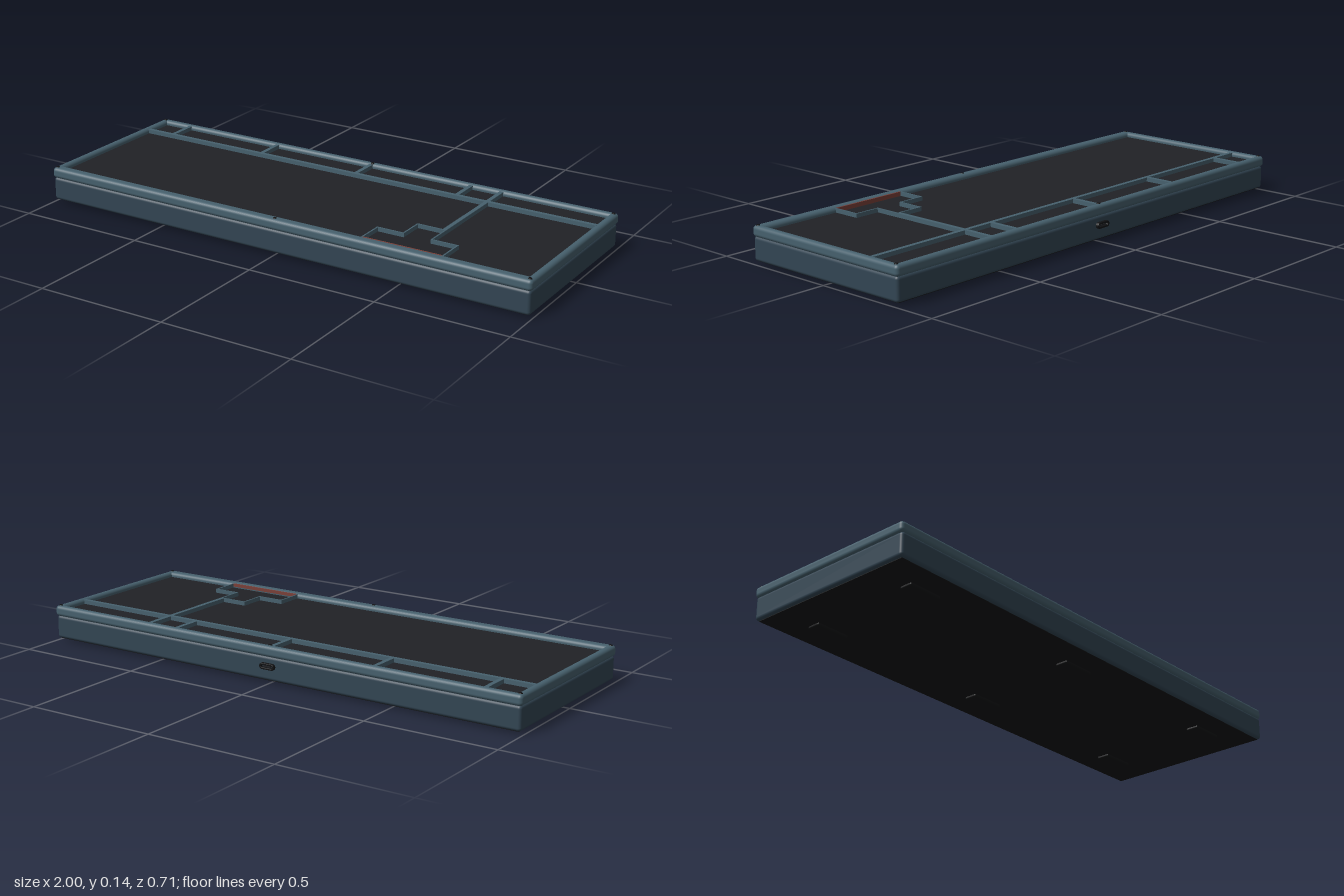
import * as THREE from 'three';
import { RoundedBoxGeometry } from 'three/addons/geometries/RoundedBoxGeometry.js';

const paint = (color) => new THREE.MeshStandardMaterial({ color });

export function createModel() {
  const model = new THREE.Group();
  const lid = paint(0x46606d), shell = paint(0x324553), dark = paint(0x202226);
  const black = paint(0x111214), red = paint(0x7a3f38);

  const add = (name, geometry, material) => {
    const mesh = new THREE.Mesh(geometry, material);
    mesh.name = name;
    model.add(mesh);
    return mesh;
  };
  // Box given by its limits on each axis, with optional rounded edges
  const block = (name, material, [x0, x1], [y0, y1], [z0, z1], radius = 0) => {
    const size = [x1 - x0, y1 - y0, z1 - z0];
    const geometry = radius ? new RoundedBoxGeometry(...size, 4, radius) : new THREE.BoxGeometry(...size);
    const mesh = add(name, geometry, material);
    mesh.position.set((x0 + x1) / 2, (y0 + y1) / 2, (z0 + z1) / 2);
    return mesh;
  };

  // Lower case, base plate and recessed deck
  block('lowerCase', shell, [-0.996, 0.996], [0.0115, 0.1], [-0.346, 0.355], 0.012);
  block('basePlate', black, [-0.984, 0.984], [0.0095, 0.016], [-0.336, 0.343]);
  block('deck', dark, [-0.985, 0.985], [0.098, 0.12], [-0.335, 0.335]);

  // Rounded rim
  const rimY = [0.097, 0.138];
  block('frontRim', lid, [-1, 1], rimY, [0.315, 0.357], 0.014);
  block('backRim', lid, [-1, 1], rimY, [-0.35, -0.32], 0.014);
  for (const s of [-1, 1]) {
    block('sideRim', lid, [s * 0.985 - 0.015, s * 0.985 + 0.015], rimY, [-0.35, 0.357], 0.014);
  }

  // Dividers between key groups
  const barY = [0.115, 0.135];
  block('rowDivider', lid, [-0.975, 0.975], barY, [-0.216, -0.2]);
  for (const x of [-0.855, -0.43, -0.003, 0.425]) {
    block('groupDivider', lid, [x - 0.008, x + 0.008], barY, [-0.325, -0.21]);
  }
  block('longDivider', lid, [0.542, 0.558], barY, [-0.325, 0.113]);

  // Thin stepped wall around the arrow keys
  const path = [[0.342, 0.32], [0.342, 0.212], [0.445, 0.212], [0.445, 0.112],
    [0.555, 0.112], [0.555, 0.212], [0.655, 0.212], [0.655, 0.32]];
  const t = 0.003;
  for (let i = 1; i < path.length; i++) {
    const [[ax, az], [bx, bz]] = [path[i - 1], path[i]];
    block('arrowKeyWall', lid, [Math.min(ax, bx) - t, Math.max(ax, bx) + t], barY,
      [Math.min(az, bz) - t, Math.max(az, bz) + t]);
  }
  block('arrowKeyAccent', red, [0.345, 0.652], [0.118, 0.136], [0.315, 0.321]);

  // Screw heads
  for (const x of [-0.985, 0, 0.985]) {
    for (const z of [-0.331, 0.339]) {
      add('screw', new THREE.CylinderGeometry(0.006, 0.008, 0.005, 16), black).position.set(x, 0.1375, z);
    }
  }

  // Feet
  for (const x of [-0.78, 0, 0.78]) {
    for (const z of [-0.215, 0.225]) {
      block('foot', black, [x - 0.068, x + 0.068], [0, 0.013], [z - 0.026, z + 0.026], 0.005);
    }
  }

  // Cable socket: a capsule-shaped ring with an inner tongue
  const capsule = (target, half, r) => {
    target.absarc(half, 0, r, -Math.PI / 2, Math.PI / 2);
    target.absarc(-half, 0, r, Math.PI / 2, Math.PI * 1.5);
    target.closePath();
    return target;
  };
  const ring = capsule(new THREE.Shape(), 0.02, 0.0095);
  ring.holes.push(capsule(new THREE.Path(), 0.02, 0.006));
  const ringGeometry = new THREE.ExtrudeGeometry(ring, {
    depth: 0.009, bevelThickness: 0.002, bevelSize: 0.002, bevelSegments: 2, curveSegments: 12,
  });
  add('socketRing', ringGeometry, black).position.set(0, 0.065, -0.355);
  block('socketTongue', dark, [-0.016, 0.016], [0.063, 0.067], [-0.353, -0.34]);

  return model;
}
